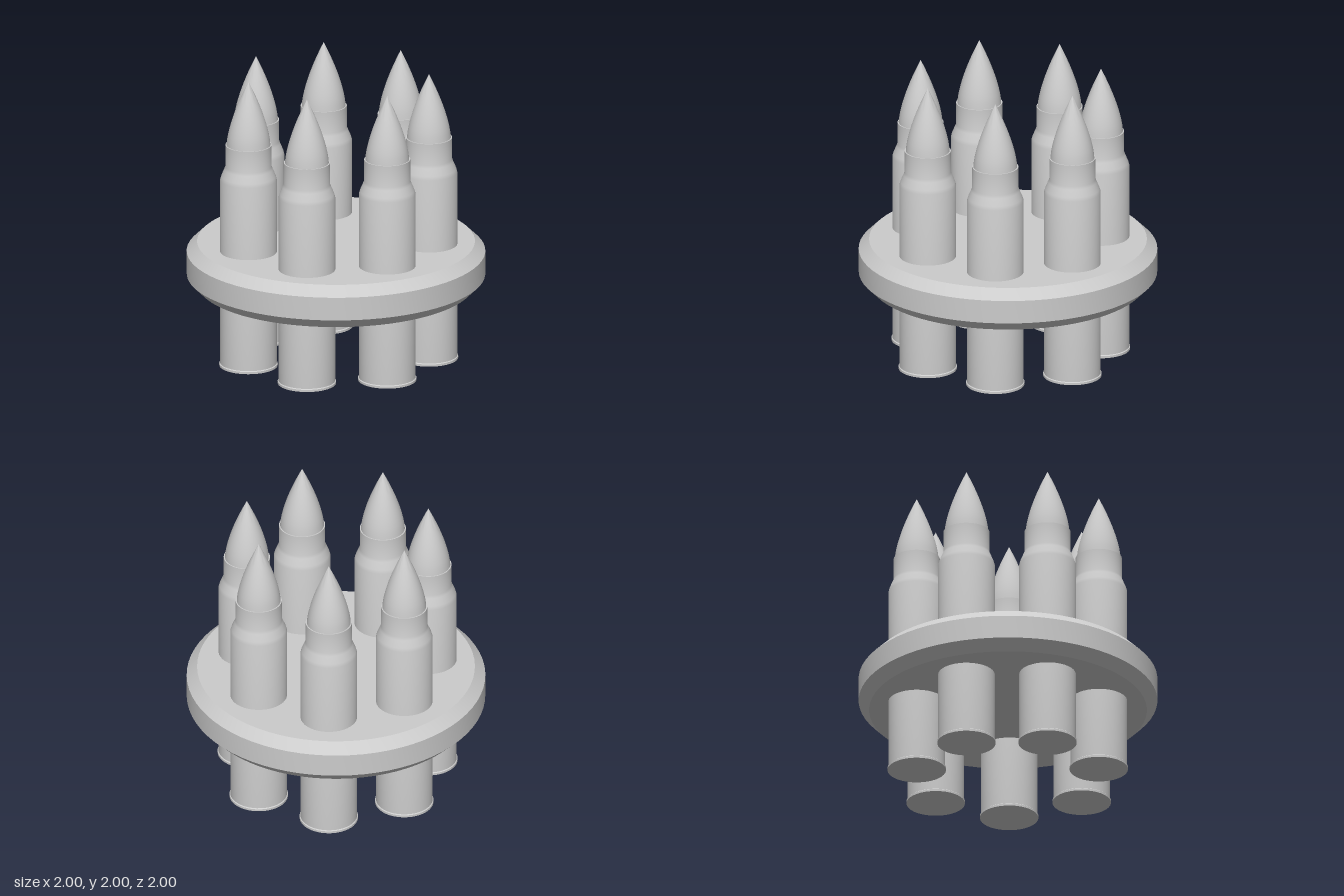
import * as THREE from 'three';
import { toCreasedNormals } from 'three/addons/utils/BufferGeometryUtils.js';

const material = new THREE.MeshStandardMaterial({ color: 0xcccccc });

// Revolve a bottom-to-top [radius, height] profile, keeping sharp edges crisp
function lathe(name, profile, segments) {
  const points = profile.map(([r, y]) => new THREE.Vector2(r, y));
  const geometry = toCreasedNormals(new THREE.LatheGeometry(points, segments), 0.6);
  const mesh = new THREE.Mesh(geometry, material);
  mesh.name = name;
  return mesh;
}

function createCartridge() {
  const cartridge = new THREE.Group();

  // Case: thin rim, straight body, sloped shoulder and open-looking neck
  cartridge.add(lathe('case', [
    [0, 0], [0.196, 0], [0.196, 0.015], [0.19, 0.02],
    [0.19, 1.31], [0.183, 1.335], [0.162, 1.385], [0.155, 1.405],
    [0.155, 1.555], [0, 1.555],
  ], 40));

  // Pointed ogive tip
  const ogive = [];
  for (let i = 0; i <= 12; i++) {
    const t = i / 12;
    ogive.push([0.147 * (1 - Math.pow(t, 1.5)), 1.555 + 0.445 * t]);
  }
  cartridge.add(lathe('bulletTip', ogive, 40));
  return cartridge;
}

export function createModel() {
  const model = new THREE.Group();
  model.name = 'cartridgeHolder';

  // Round holder plate with chamfered edges
  model.add(lathe('holderPlate', [
    [0, 0.505], [0.93, 0.505], [1, 0.575], [1, 0.735], [0.93, 0.803], [0, 0.803],
  ], 72));

  // Seven cartridges evenly spaced in a ring
  const count = 7, ringRadius = 0.625, startAngle = 0.117;
  for (let i = 0; i < count; i++) {
    const angle = startAngle + (i / count) * Math.PI * 2;
    const cartridge = createCartridge();
    cartridge.name = `cartridge${i + 1}`;
    cartridge.position.set(Math.cos(angle) * ringRadius, 0, Math.sin(angle) * ringRadius);
    model.add(cartridge);
  }
  return model;
}
